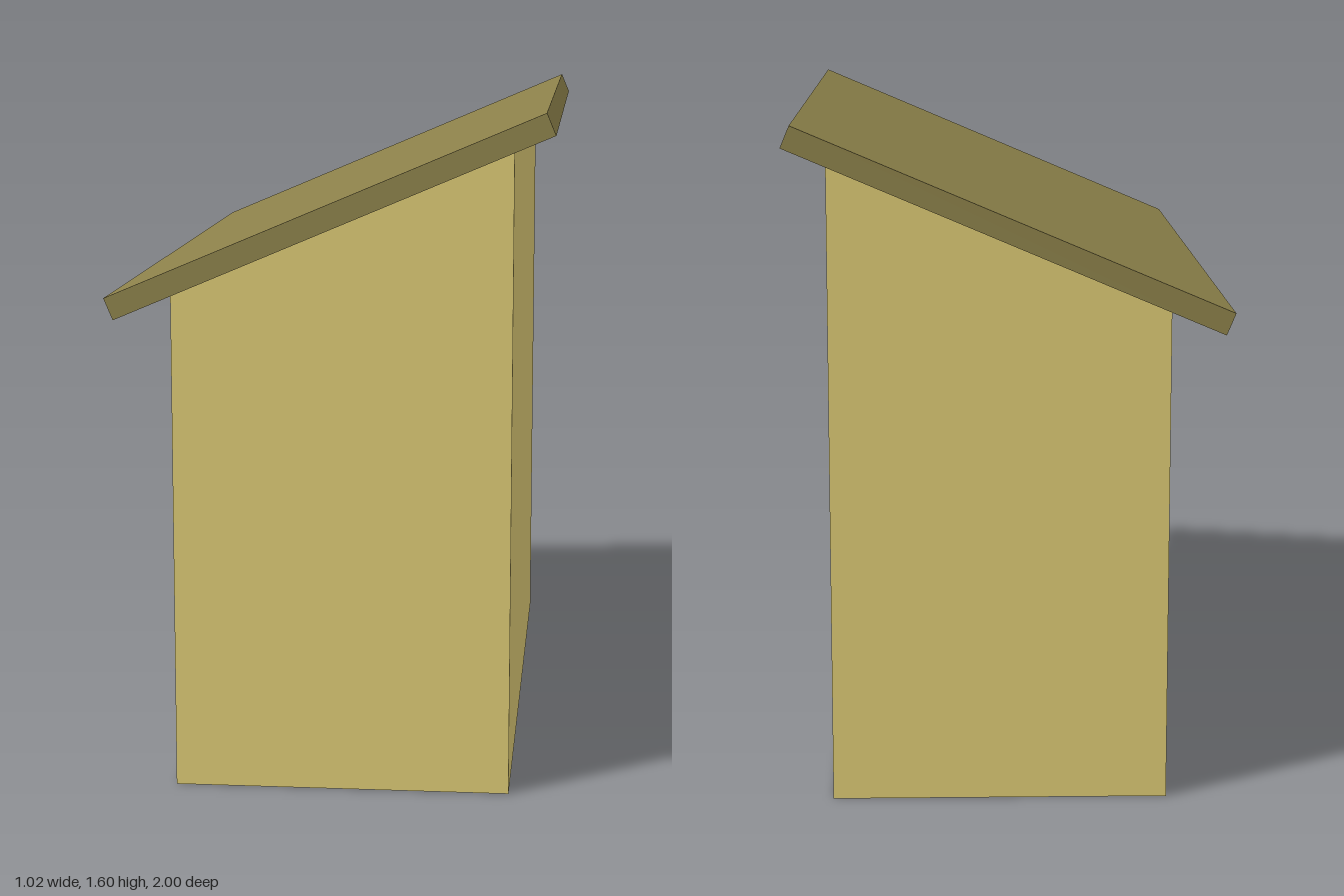
import * as THREE from 'three';

const wallMat = new THREE.MeshStandardMaterial({ color: 0xd9c773 });
const roofMat = new THREE.MeshStandardMaterial({ color: 0x8b8049 });
const floorMat = new THREE.MeshStandardMaterial({ color: 0x808080 });

const X0 = -0.377, X1 = 0.413, Z = 0.888, T = 0.05;

// Height of the roof's underside at x
const eaveY = (x) => 1.13 + (x + 0.49) * 0.424;

// Outline in x/y pushed from z0 to z1
function prism(name, points, z0, z1, material) {
  const shape = new THREE.Shape(points.map(([x, y]) => new THREE.Vector2(x, y)));
  const geometry = new THREE.ExtrudeGeometry(shape, { depth: z1 - z0, bevelEnabled: false });
  geometry.translate(0, 0, z0);
  const mesh = new THREE.Mesh(geometry, material);
  mesh.name = name;
  return mesh;
}

// Wall outline with its top cut to the roof slope
const wallOutline = (x0, x1) => [[x0, 0], [x1, 0], [x1, eaveY(x1)], [x0, eaveY(x0)]];

export function createModel() {
  const model = new THREE.Group();
  model.name = 'shed';

  // Four walls around a hollow inside
  const walls = new THREE.Group();
  walls.name = 'walls';
  walls.add(
    prism('frontWall', wallOutline(X0, X1), Z - T, Z, wallMat),
    prism('backWall', wallOutline(X0, X1), -Z, -Z + T, wallMat),
    prism('leftWall', wallOutline(X1 - T, X1), -Z + T, Z - T, wallMat),
    prism('rightWall', wallOutline(X0, X0 + T), -Z + T, Z - T, wallMat),
  );
  model.add(walls);

  // Floor slab set between the walls
  const a = X0 + T, b = X1 - T;
  model.add(prism('floor', [[a, 0], [b, 0], [b, T], [a, T]], -Z + T, Z - T, floorMat));

  // Single-pitch overhanging roof
  const roof = [[-0.49, 1.13], [0.508, 1.553], [0.487, 1.603], [-0.511, 1.18]];
  model.add(prism('roof', roof, -1, 1, roofMat));

  return model;
}
